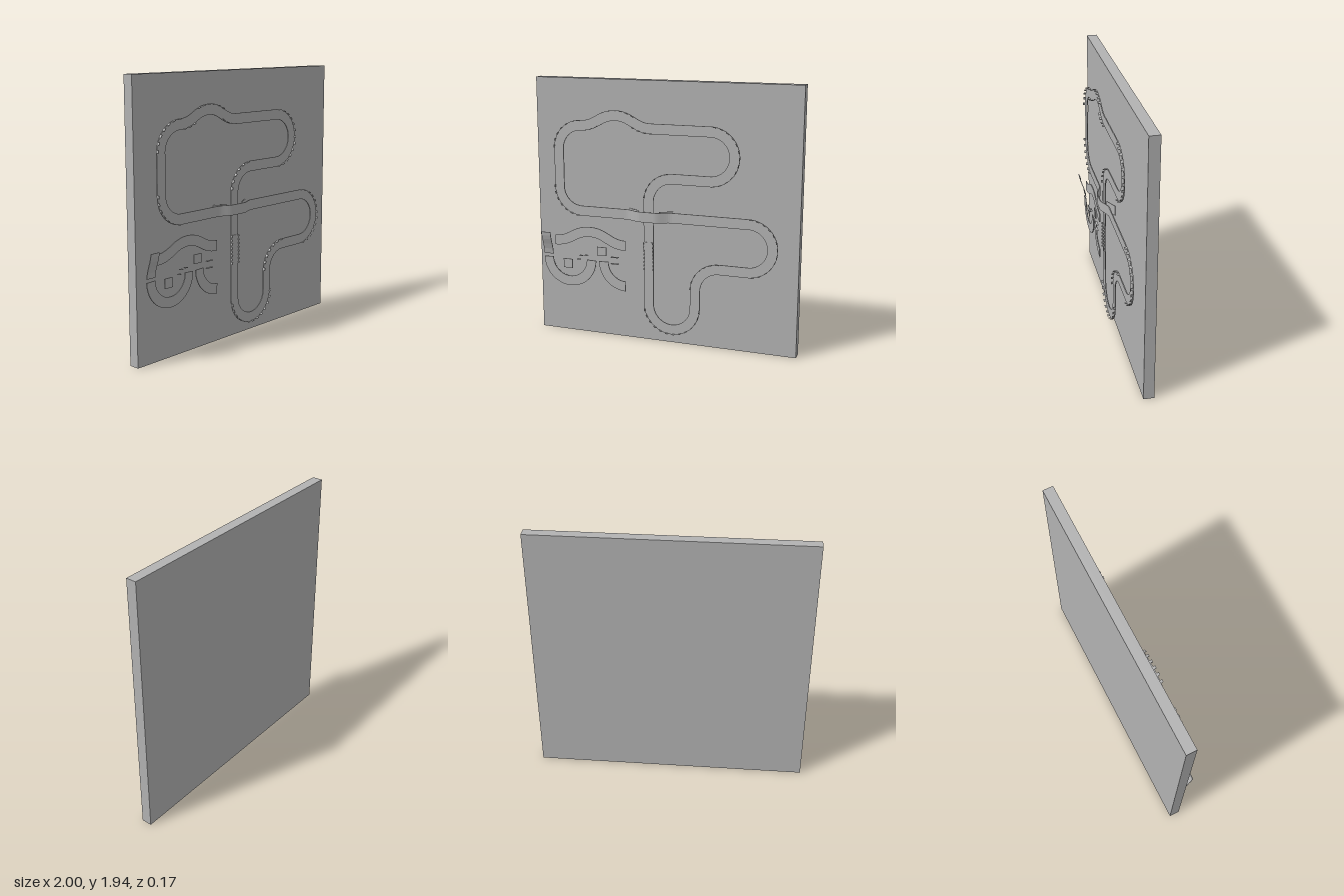
import * as THREE from 'three';

const grey = new THREE.MeshStandardMaterial({ color: 0xb2b2b2, side: THREE.DoubleSide });
grey.name = 'plain grey';
const HALF = 0.0375, BACK = 0.033, FRONT = 0.04;

// Centre-line samples with left-hand normals and the turning direction
function sample(path, count, closed) {
  const p = path.getSpacedPoints(count);
  if (closed) p.pop();
  const n = p.length;
  const at = (i) => (closed ? p[(i + n) % n] : p[Math.min(n - 1, Math.max(0, i))]);
  return p.map((q, i) => {
    const before = at(i - 1), after = at(i + 1);
    const t = after.clone().sub(before).normalize();
    const a = q.clone().sub(before), b = after.clone().sub(q);
    return { x: q.x, y: q.y, tx: t.x, ty: t.y, turn: a.cross(b) / (a.length() * b.length() || 1) };
  });
}

// Flat road with a rectangular section; lift(s) raises it
function road(name, samples, closed, lift = () => 0) {
  const rings = samples.map((s) => {
    const z = lift(s), dx = -s.ty * HALF, dy = s.tx * HALF;
    return [
      [s.x + dx, s.y + dy, BACK + z], [s.x - dx, s.y - dy, BACK + z],
      [s.x - dx, s.y - dy, FRONT + z], [s.x + dx, s.y + dy, FRONT + z],
    ];
  });
  const pos = [];
  const quad = (a, b, c, d) => pos.push(...a, ...b, ...c, ...a, ...c, ...d);
  const last = closed ? rings.length : rings.length - 1;
  for (let i = 0; i < last; i++) {
    const a = rings[i], b = rings[(i + 1) % rings.length];
    for (let k = 0; k < 4; k++) {
      const m = (k + 1) % 4;
      quad(a[k], a[m], b[m], b[k]);
    }
  }
  if (!closed) {
    const e = rings[rings.length - 1];
    quad(rings[0][3], rings[0][2], rings[0][1], rings[0][0]);
    quad(...e);
  }
  const g = new THREE.BufferGeometry();
  g.setAttribute('position', new THREE.Float32BufferAttribute(pos, 3));
  g.computeVertexNormals();
  const mesh = new THREE.Mesh(g, grey);
  mesh.name = name;
  return mesh;
}

function box(name, w, h, d, x, y, z) {
  const mesh = new THREE.Mesh(new THREE.BoxGeometry(w, h, d), grey);
  mesh.name = name;
  mesh.position.set(x, y, z);
  return mesh;
}

// Low guard blocks standing along the outside of each bend
function guards(samples, step) {
  const group = new THREE.Group();
  group.name = 'bendGuards';
  for (let i = 0; i < samples.length; i += step) {
    const s = samples[i];
    if (Math.abs(s.turn) < 0.02) continue;
    const side = -Math.sign(s.turn) * (HALF - 0.002);
    const b = box('guardBlock', 0.02, 0.004, 0.018, s.x - s.ty * side, s.y + s.tx * side, 0.046);
    b.rotation.z = Math.atan2(s.ty, s.tx);
    group.add(b);
  }
  return group;
}

// Thin strip following (u, z) points, across x or up y
function strip(name, points, place) {
  const shape = new THREE.Shape();
  points.forEach(([u, z], i) => (i ? shape.lineTo(u, z) : shape.moveTo(u, z)));
  [...points].reverse().forEach(([u, z]) => shape.lineTo(u, z - 0.005));
  const g = new THREE.ExtrudeGeometry(shape, { depth: 2 * HALF, bevelEnabled: false });
  const p = g.attributes.position;
  for (let i = 0; i < p.count; i++) p.setXYZ(i, ...place(p.getX(i), p.getY(i), p.getZ(i)));
  g.computeVertexNormals();
  const mesh = new THREE.Mesh(g, grey);
  mesh.name = name;
  return mesh;
}

export function createModel() {
  const model = new THREE.Group();
  const PI = Math.PI, R = 0.176;
  model.add(box('backBoard', 2, 1.94, 0.076, 0, 0.97, -0.047));

  // Main circuit
  const c = new THREE.Path();
  c.moveTo(-0.08, 1.602);
  c.lineTo(0.36, 1.602);
  c.absarc(0.36, 1.426, R, PI / 2, -PI / 2, true);
  c.lineTo(0.075, 1.25);
  c.absarc(0.075, 1.074, R, PI / 2, PI, false);
  c.lineTo(-0.101, 0.295);
  c.absarc(0.077, 0.295, 0.178, PI, 2 * PI, false);
  c.lineTo(0.255, 0.437);
  c.absarc(0.431, 0.437, R, PI, PI / 2, true);
  c.lineTo(0.645, 0.613);
  c.absarc(0.645, 0.789, R, -PI / 2, PI / 2, false);
  c.lineTo(-0.63, 0.965);
  c.absarc(-0.63, 1.141, R, -PI / 2, -PI, true);
  c.lineTo(-0.806, 1.427);
  c.absarc(-0.63, 1.427, R, PI, PI / 2, true);
  c.bezierCurveTo(-0.5, 1.603, -0.48, 1.685, -0.355, 1.685);
  c.bezierCurveTo(-0.23, 1.685, -0.21, 1.602, -0.08, 1.602);
  const circuit = sample(c, 480, true);
  const flyover = (s) => {
    if (Math.abs(s.y - 0.965) > 0.03 || Math.abs(s.tx) < 0.9) return 0;
    const t = THREE.MathUtils.clamp((0.18 - Math.abs(s.x + 0.1)) / 0.13, 0, 1);
    return 0.043 * t * t * (3 - 2 * t);
  };
  model.add(road('circuitRoad', circuit, true, flyover), guards(circuit, 3));

  // Sloping feet under the flyover
  for (const d of [-1, 1]) {
    model.add(strip('flyoverFoot', [[-0.1 + d * 0.17, -0.006], [-0.1 + d * 0.08, 0.038]],
      (u, z, w) => [u, 0.965 - HALF + w, z]));
  }

  // Slotted strip on the long straight
  model.add(box('straightPlate', 0.074, 0.215, 0.004, -0.101, 0.662, 0.042));
  for (let i = 0; i < 8; i++) {
    for (const x of [-0.136, -0.066]) {
      model.add(box('straightPeg', 0.004, 0.012, 0.014, x, 0.565 + i * 0.028, 0.047));
    }
  }

  // Loose track pieces at the lower left
  const wave = new THREE.Path();
  wave.moveTo(-0.855, 0.724);
  wave.bezierCurveTo(-0.72, 0.724, -0.7, 0.806, -0.57, 0.806);
  wave.bezierCurveTo(-0.44, 0.806, -0.42, 0.724, -0.285, 0.724);
  const bend = new THREE.Path();
  bend.absarc(-0.737, 0.587, R, PI, 2 * PI, false);
  const quarter = new THREE.Path();
  quarter.absarc(-0.285, 0.587, R, PI, 1.5 * PI, false);
  for (const [name, path, count] of [['spareWave', wave, 48], ['spareHairpin', bend, 44], ['spareCurve', quarter, 24]]) {
    model.add(road(name, sample(path, count, false), false));
  }
  model.add(box('sparePlate', 0.073, 0.07, 0.006, -0.754, 0.547, 0.037));
  model.add(box('sparePlate', 0.073, 0.066, 0.006, -0.477, 0.664, 0.037));

  // Small loose rails and clips
  for (const [x, y] of [[-0.66, 0.59], [-0.64, 0.62], [-0.6, 0.625], [-0.37, 0.58], [-0.37, 0.63]]) {
    model.add(box('spareRail', x > -0.5 ? 0.06 : 0.025, 0.004, 0.018, x, y, 0.045));
  }

  // Curved launch ramp
  model.add(strip('launchRamp', [[0.61, 0.04], [0.65, 0.046], [0.69, 0.058], [0.73, 0.073], [0.76, 0.081], [0.788, 0.085]],
    (u, z, w) => [-0.95 + w, u, z]));
  return model;
}
